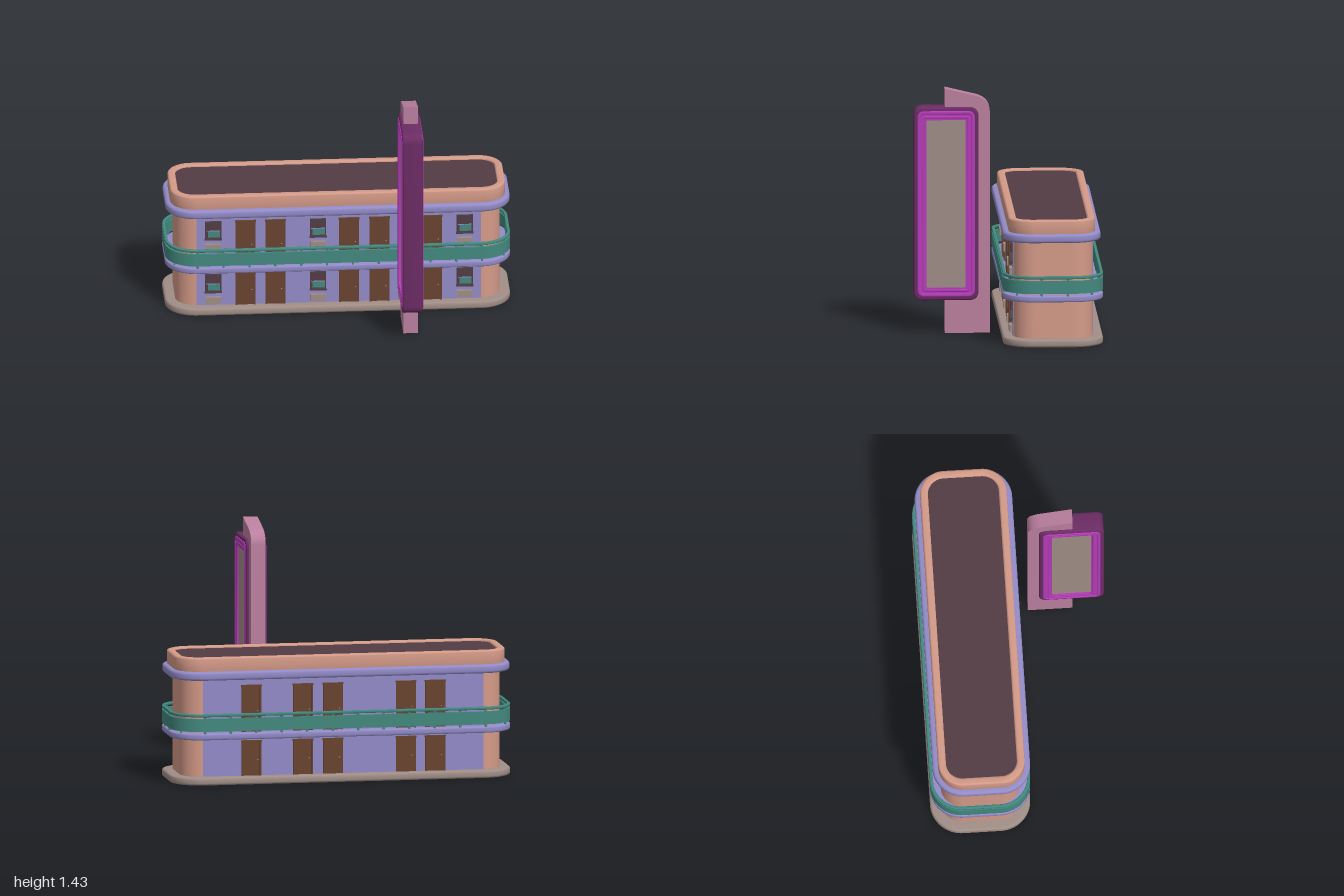
import * as THREE from 'three';
import { toCreasedNormals } from 'three/addons/utils/BufferGeometryUtils.js';

const paint = (name, color) => {
  const m = new THREE.MeshStandardMaterial({ color });
  m.name = name;
  return m;
};

export function createModel() {
  const peach = paint('peach stucco', 0xd49a88);
  const lilac = paint('lilac paint', 0x938bc8);
  const teal = paint('teal railing', 0x43897f);
  const taupe = paint('taupe concrete', 0xa08d86);
  const dark = paint('dark roofing', 0x523c45);
  const brown = paint('brown wood', 0x69432f);
  const pink = paint('pink pylon', 0xba7f9e);
  const plum = paint('plum frame', 0x6b2c64);
  const magenta = paint('magenta trim', 0xb53cb8);

  const model = new THREE.Group();
  model.name = 'motel';
  const CZ = -0.25; // building centre line

  const add = (parent, name, geo, mat, x = 0, y = 0, z = 0) => {
    const mesh = new THREE.Mesh(geo, mat);
    mesh.name = name;
    mesh.position.set(x, y, z);
    parent.add(mesh);
    return mesh;
  };
  const box = (parent, name, mat, w, h, d, x, y, z) =>
    add(parent, name, new THREE.BoxGeometry(w, h, d), mat, x, y, z);

  // Rounded rectangle centred on the origin
  const roundRect = (w, h, r, Type = THREE.Shape) => {
    const s = new Type(), a = w / 2, b = h / 2;
    s.moveTo(-a + r, -b);
    s.lineTo(a - r, -b);
    s.absarc(a - r, -b + r, r, -Math.PI / 2, 0, false);
    s.lineTo(a, b - r);
    s.absarc(a - r, b - r, r, 0, Math.PI / 2, false);
    s.lineTo(-a + r, b);
    s.absarc(-a + r, b - r, r, Math.PI / 2, Math.PI, false);
    s.lineTo(-a, -b + r);
    s.absarc(-a + r, -b + r, r, Math.PI, Math.PI * 1.5, false);
    return s;
  };
  // Bevelled slab, or a ring when a wall thickness t is given; runs 0..depth on z
  const slab = (w, h, r, depth, bevel = 0, t = 0) => {
    const s = roundRect(w - 2 * bevel, h - 2 * bevel, r - bevel);
    if (t) {
      const k = 2 * (t - bevel);
      s.holes.push(roundRect(w - k, h - k, Math.max(r - t + bevel, 0.008), THREE.Path));
    }
    const g = new THREE.ExtrudeGeometry(s, {
      depth: depth - 2 * bevel, curveSegments: 10, bevelEnabled: bevel > 0,
      bevelThickness: bevel, bevelSize: bevel, bevelSegments: 3,
    });
    g.translate(0, 0, bevel);
    return toCreasedNormals(g, 0.6);
  };

  // Storeys: horizontal slabs and rings stacked on y
  const building = new THREE.Group();
  building.name = 'building';
  model.add(building);
  const layer = (name, mat, w, d, r, y0, y1, bevel, t, z = CZ) =>
    add(building, name, slab(w, d, r, y1 - y0, bevel, t).rotateX(-Math.PI / 2), mat, 0, y0, z);

  layer('basePlinth', taupe, 2, 0.58, 0.18, 0, 0.045, 0.012, 0);
  layer('endWalls', peach, 1.88, 0.456, 0.12, 0.04, 0.63, 0, 0);
  layer('balconyFloor', lilac, 2, 0.58, 0.18, 0.265, 0.302, 0.008, 0);
  layer('railingPanel', teal, 2, 0.58, 0.18, 0.315, 0.39, 0, 0.014);
  layer('handrail', teal, 2, 0.58, 0.18, 0.4, 0.417, 0.004, 0.018);
  layer('eave', lilac, 1.995, 0.565, 0.175, 0.61, 0.66, 0.014, 0, -0.243);
  layer('parapet', peach, 1.94, 0.5, 0.14, 0.65, 0.74, 0.01, 0.045, -0.243);
  layer('roof', dark, 1.87, 0.43, 0.11, 0.65, 0.728, 0, 0, -0.243);
  box(building, 'longWalls', lilac, 1.65, 0.58, 0.464, 0, 0.335, CZ);

  // Railing posts
  const path = roundRect(1.982, 0.562, 0.171);
  path.getSpacedPoints(32).slice(0, 32).forEach((p) =>
    box(building, 'railingPost', teal, 0.012, 0.105, 0.012, p.x, 0.352, CZ - p.y));

  // Doors and windows are built facing +z on a wall plane at z = 0
  const makeDoor = (h) => {
    const g = new THREE.Group();
    g.name = 'door';
    for (const s of [-1, 1]) box(g, 'doorJamb', brown, 0.01, h, 0.012, s * 0.053, h / 2, 0.004);
    box(g, 'doorLintel', brown, 0.122, 0.01, 0.014, 0, h - 0.005, 0.004);
    box(g, 'doorLeaf', brown, 0.098, h - 0.01, 0.006, 0, h / 2 - 0.005, 0.002);
    add(g, 'doorKnob', new THREE.SphereGeometry(0.004, 8, 6), taupe, 0.036, h * 0.45, 0.007);
    return g;
  };
  const makeWindow = () => {
    const g = new THREE.Group();
    g.name = 'window';
    box(g, 'windowFrame', dark, 0.094, 0.112, 0.008, 0, 0, 0.002);
    box(g, 'windowPane', teal, 0.07, 0.038, 0.004, 0.004, -0.026, 0.005);
    box(g, 'windowBlind', dark, 0.078, 0.05, 0.006, 0, 0.025, 0.006);
    box(g, 'windowBar', lilac, 0.08, 0.005, 0.006, 0, -0.003, 0.006);
    box(g, 'windowSill', dark, 0.1, 0.008, 0.016, 0, -0.056, 0.006);
    box(g, 'airConditioner', taupe, 0.09, 0.04, 0.02, 0, -0.105, 0.008);
    return g;
  };
  const frontZ = CZ + 0.232, backZ = CZ - 0.232;
  const doorXs = [-0.54, -0.367, 0.06, 0.237, 0.54];
  const windowXs = [-0.727, -0.12, 0.39, 0.73];
  const floors = [
    { base: 0.045, doorH: 0.207, windowY: 0.184 },
    { base: 0.3, doorH: 0.276, windowY: 0.518 },
  ];
  for (const f of floors) {
    for (const x of doorXs) {
      const front = makeDoor(f.doorH), back = makeDoor(f.doorH);
      front.position.set(x, f.base, frontZ);
      back.position.set(x, f.base, backZ);
      back.rotation.y = Math.PI;
      building.add(front, back);
    }
    for (const x of windowXs) {
      const w = makeWindow();
      w.position.set(x, f.windowY, frontZ);
      building.add(w);
    }
  }

  // Roadside sign, profiles drawn in the z-y plane and extruded across x
  const sign = new THREE.Group();
  sign.name = 'sign';
  sign.position.x = 0.392;
  model.add(sign);
  const across = (name, mat, geo, width, y = 0, z = 0) =>
    add(sign, name, geo.translate(0, 0, -width / 2).rotateY(-Math.PI / 2), mat, 0, y, z);

  // Pylon with a sloping top and a rounded rear corner
  const fin = new THREE.Shape();
  fin.moveTo(0.1, 0);
  fin.lineTo(0.36, 0);
  fin.lineTo(0.36, 1.43);
  fin.lineTo(0.18, 1.387);
  fin.quadraticCurveTo(0.1, 1.365, 0.1, 1.3);
  fin.closePath();
  const finGeo = new THREE.ExtrudeGeometry(fin, { depth: 0.085, bevelEnabled: false, curveSegments: 10 });
  across('pylon', pink, toCreasedNormals(finGeo, 0.5), 0.085);

  // Frame, stepped trim rings and recessed panel, the same on both sides
  const ring = (name, mat, w, h, r, width, bevel, t) =>
    across(name, mat, slab(w, h, r, width, bevel, t), width, 0.758, 0.353);
  ring('signFrame', plum, 0.375, 1.13, 0.048, 0.118, 0.01, 0.07);
  ring('trimBand', magenta, 0.33, 1.085, 0.035, 0.12, 0, 0.052);
  ring('outerTrim', magenta, 0.332, 1.087, 0.036, 0.128, 0.005, 0.02);
  ring('innerTrim', magenta, 0.276, 1.031, 0.02, 0.125, 0.004, 0.016);
  ring('signPanel', taupe, 0.255, 1.01, 0.012, 0.098, 0, 0);

  return model;
}
